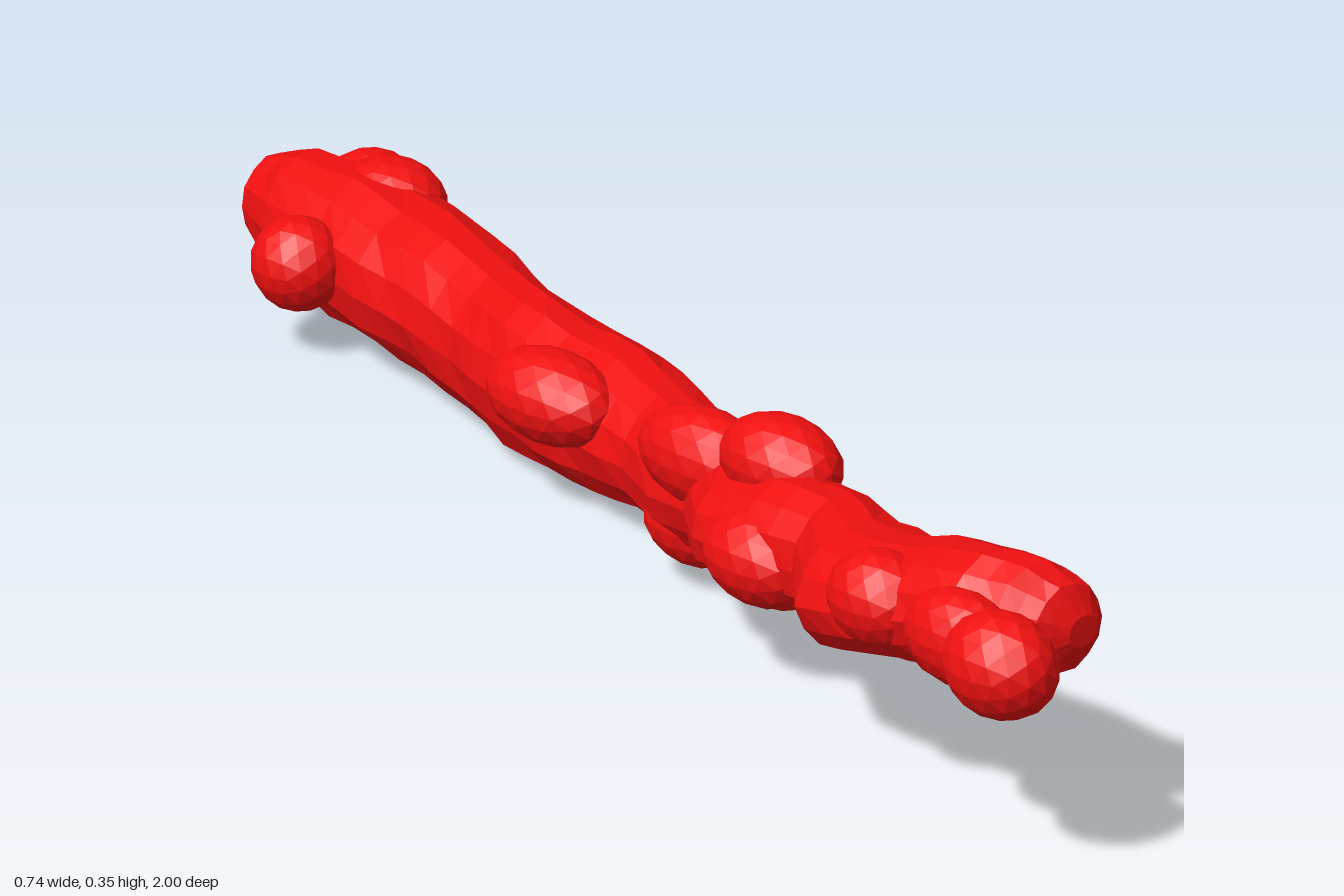
import * as THREE from 'three';

const SIDES = 14;

// Main body outline: z, xMin, xMax, yMin, yMax
const SECTIONS = [
  [-1.0, 0.235, 0.275, 0.10, 0.14],
  [-0.97, 0.20, 0.30, 0.065, 0.175],
  [-0.91, 0.175, 0.325, 0.04, 0.195],
  [-0.80, 0.15, 0.34, 0.02, 0.205],
  [-0.70, 0.13, 0.33, 0.02, 0.20],
  [-0.60, 0.12, 0.30, 0.015, 0.20],
  [-0.50, 0.10, 0.27, 0.01, 0.19],
  [-0.40, 0.07, 0.225, 0.005, 0.20],
  [-0.30, 0.045, 0.22, 0.01, 0.195],
  [-0.20, 0.03, 0.205, 0.015, 0.20],
  [-0.10, 0.01, 0.17, 0.04, 0.19],
  [0.0, -0.035, 0.13, 0.045, 0.20],
  [0.10, -0.07, 0.065, 0.07, 0.22],
  [0.20, -0.15, 0.03, 0.095, 0.235],
  [0.30, -0.17, 0.0, 0.10, 0.26],
  [0.40, -0.17, -0.02, 0.11, 0.27],
  [0.50, -0.255, -0.05, 0.125, 0.28],
  [0.60, -0.275, -0.09, 0.155, 0.30],
  [0.70, -0.29, -0.11, 0.18, 0.335],
  [0.80, -0.29, -0.135, 0.20, 0.358],
  [0.86, -0.27, -0.125, 0.205, 0.355],
  [0.90, -0.24, -0.13, 0.225, 0.335],
  [0.92, -0.20, -0.155, 0.26, 0.30],
];

// Bulges on the surface: centre x, y, z and radii x, y, z
const LUMPS = [
  [-0.31, 0.275, 0.92, 0.062, 0.066, 0.08],
  [-0.29, 0.275, 0.83, 0.05, 0.06, 0.09],
  [-0.255, 0.26, 0.65, 0.057, 0.06, 0.075],
  [-0.14, 0.175, 0.65, 0.052, 0.05, 0.065],
  [-0.05, 0.25, 0.25, 0.06, 0.057, 0.09],
  [-0.13, 0.17, 0.31, 0.062, 0.06, 0.09],
  [-0.09, 0.145, 0.30, 0.055, 0.055, 0.06],
  [-0.03, 0.20, 0.10, 0.055, 0.062, 0.11],
  [0.02, 0.085, 0.03, 0.055, 0.055, 0.08],
  [0.04, 0.15, -0.25, 0.06, 0.057, 0.10],
  [0.135, 0.12, -0.80, 0.055, 0.058, 0.06],
  [0.31, 0.13, -0.86, 0.06, 0.065, 0.07],
  [0.275, 0.165, -0.79, 0.06, 0.051, 0.075],
];

// Uneven surface, repeatable from ring and side number
const ripple = (i, j) => 1 + 0.035 * Math.sin(i * 2.7 + j * 1.9) * Math.cos(i * 1.3 - j * 0.9);

function bodyGeometry() {
  const pos = [], index = [];
  const rings = [];
  SECTIONS.forEach((s, i) => {
    rings.push(s);
    const n = SECTIONS[i + 1];
    if (n) rings.push(s.map((v, k) => (v + n[k]) / 2));
  });
  rings.forEach(([z, x0, x1, y0, y1], i) => {
    for (let j = 0; j < SIDES; j++) {
      const a = (j / SIDES) * Math.PI * 2;
      const r = ripple(i, j);
      pos.push((x0 + x1) / 2 + Math.cos(a) * r * (x1 - x0) / 2,
        Math.max(0, (y0 + y1) / 2 + Math.sin(a) * r * (y1 - y0) / 2), z);
    }
  });
  for (let i = 0; i < rings.length - 1; i++) {
    for (let j = 0; j < SIDES; j++) {
      const a = i * SIDES + j, b = i * SIDES + (j + 1) % SIDES;
      index.push(a, b, b + SIDES, a, b + SIDES, a + SIDES);
    }
  }
  // End caps
  [0, rings.length - 1].forEach((i) => {
    const [z, x0, x1, y0, y1] = rings[i];
    const c = pos.length / 3;
    pos.push((x0 + x1) / 2, (y0 + y1) / 2, z);
    for (let j = 0; j < SIDES; j++) {
      const a = i * SIDES + j, b = i * SIDES + (j + 1) % SIDES;
      if (i === 0) index.push(c, b, a);
      else index.push(c, a, b);
    }
  });
  const g = new THREE.BufferGeometry();
  g.setAttribute('position', new THREE.Float32BufferAttribute(pos, 3));
  g.setIndex(index);
  g.computeVertexNormals();
  return g;
}

export function createModel() {
  const group = new THREE.Group();
  group.name = 'lumpyRod';
  const red = new THREE.MeshStandardMaterial({ color: 0xf01010, flatShading: true });

  const body = new THREE.Mesh(bodyGeometry(), red);
  body.name = 'body';
  group.add(body);

  const ball = new THREE.IcosahedronGeometry(1, 2);
  LUMPS.forEach(([x, y, z, rx, ry, rz], i) => {
    const lump = new THREE.Mesh(ball, red);
    lump.name = `lump${i + 1}`;
    lump.position.set(x, y, z);
    lump.scale.set(rx, ry, rz);
    group.add(lump);
  });
  return group;
}
